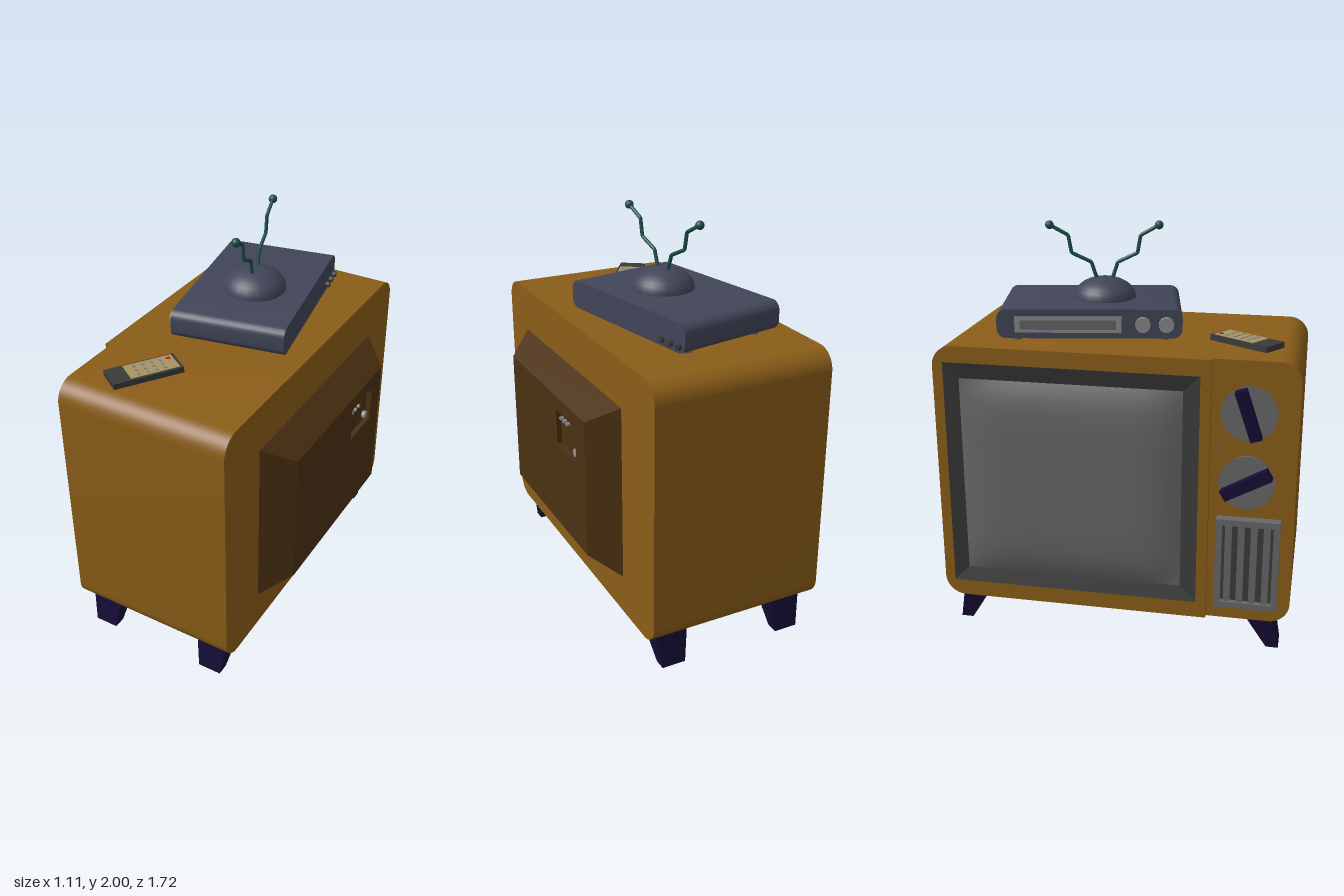
import * as THREE from 'three';
import { toCreasedNormals } from 'three/addons/utils/BufferGeometryUtils.js';

const mat = (color) => new THREE.MeshStandardMaterial({ color, side: THREE.DoubleSide });
const WOOD = mat(0x8a5d18), BACK = mat(0x4a3012), GREY = mat(0x666666), DARK = mat(0x3a3a3a);
const LEG = mat(0x150c35), CASE = mat(0x414558), GREEN = mat(0x1d4f49), LIGHT = mat(0x8c8c8c);
const TAN = mat(0xa8935f), RED = mat(0xc02818);

function add(parent, name, geo, material, x = 0, y = 0, z = 0) {
  const m = new THREE.Mesh(geo, material);
  m.name = name;
  m.position.set(x, y, z);
  parent.add(m);
  return m;
}
const box = (w, h, d) => new THREE.BoxGeometry(w, h, d);

// Cylinder whose axis lies along x
const discX = (r0, r1, len, n = 24) => new THREE.CylinderGeometry(r0, r1, len, n).rotateZ(Math.PI / 2);

// Outline in the z-y plane; rA rounds the low-z corners, rB the high-z ones
function outline(z0, z1, y0, y1, rA = 0, rB = rA) {
  const s = new THREE.Shape();
  const corner = (cx, cy, r, a) => {
    if (r) s.absarc(cx, cy, r, a, a + Math.PI / 2, false);
    else s.lineTo(cx, cy);
  };
  s.moveTo(z0 + rA, y0);
  corner(z1 - rB, y0 + rB, rB, -Math.PI / 2);
  corner(z1 - rB, y1 - rB, rB, 0);
  corner(z0 + rA, y1 - rA, rA, Math.PI / 2);
  corner(z0 + rA, y0 + rA, rA, Math.PI);
  return s;
}
// Extrudes a z-y outline from x1 back to x0
function slab(shape, x0, x1) {
  const g = new THREE.ExtrudeGeometry(shape, { depth: x1 - x0, bevelEnabled: false, curveSegments: 8 });
  return toCreasedNormals(g.rotateY(-Math.PI / 2).translate(x1, 0, 0), 0.5);
}

// Rectangular loop at a given x, and flat panels between successive loops
const rect = (x, z0, z1, y0, y1) => [[x, y0, z0], [x, y1, z0], [x, y1, z1], [x, y0, z1]];
function loft(loops, cap = false) {
  const p = [];
  const quad = (a, b, c, d) => p.push(...a, ...b, ...c, ...a, ...c, ...d);
  for (let i = 0; i < loops.length - 1; i++)
    for (let j = 0; j < 4; j++) {
      const k = (j + 1) % 4;
      quad(loops[i][j], loops[i][k], loops[i + 1][k], loops[i + 1][j]);
    }
  if (cap) quad(...loops[loops.length - 1]);
  const g = new THREE.BufferGeometry();
  g.setAttribute('position', new THREE.Float32BufferAttribute(p, 3));
  g.computeVertexNormals();
  return g;
}

function cabinet() {
  const g = new THREE.Group();
  g.name = 'cabinet';
  add(g, 'cabinetBody', slab(outline(-0.86, 0.86, 0.17, 1.47, 0.1), -0.462, 0.405), WOOD);

  // Raised surround with an opening for the screen
  const surround = outline(-0.86, 0.46, 0.17, 1.47, 0.1, 0);
  surround.holes.push(outline(-0.81, 0.41, 0.25, 1.39));
  add(g, 'screenSurround', slab(surround, -0.487, -0.462), WOOD);
  add(g, 'screenFrame', loft([rect(-0.466, -0.74, 0.33, 0.32, 1.31), rect(-0.487, -0.81, 0.41, 0.25, 1.39)]), DARK);

  // Screen: a grid swollen into a pillow
  const screen = new THREE.PlaneGeometry(1.07, 0.99, 20, 20);
  const p = screen.attributes.position;
  for (let i = 0; i < p.count; i++) {
    const u = Math.abs(p.getX(i) / 0.535), v = Math.abs(p.getY(i) / 0.495);
    p.setZ(i, 0.044 * (1 - u ** 6) * (1 - v ** 6));
  }
  screen.rotateY(-Math.PI / 2).computeVertexNormals();
  add(g, 'screen', screen, GREY, -0.466, 0.815, -0.205);

  // Tapered rear housing with a recessed socket panel
  add(g, 'rearHousing', loft([rect(0.42, -0.57, 0.585, 0.39, 1.26), rect(0.55, -0.455, 0.465, 0.48, 1.17)]), BACK);
  const rear = outline(-0.455, 0.465, 0.48, 1.17);
  rear.holes.push(outline(-0.35, -0.12, 0.92, 1.1));
  add(g, 'rearPanel', slab(rear, 0.548, 0.55), BACK);
  add(g, 'socketRecess', loft([rect(0.55, -0.35, -0.12, 0.92, 1.1), rect(0.525, -0.35, -0.12, 0.92, 1.1)], true), BACK);
  for (const z of [-0.148, -0.185, -0.222]) add(g, 'socket', discX(0.01, 0.01, 0.02, 12), LIGHT, 0.533, 1.062, z);
  add(g, 'rearKnob', discX(0.02, 0.02, 0.02, 16), LIGHT, 0.533, 0.955, -0.315);
  return g;
}

function controls() {
  const g = new THREE.Group();
  g.name = 'controls';
  // Dials with grip bars, turned to different positions
  for (const [y, turn] of [[1.235, 0.32], [0.9, -1.05]]) {
    const dial = new THREE.Group();
    dial.name = 'dial';
    dial.position.set(-0.462, y, 0.635);
    add(dial, 'dialDisc', discX(0.13, 0.118, 0.045), GREY, -0.022).rotation.x = Math.PI;
    const grip = add(dial, 'dialGrip', box(0.045, 0.245, 0.055), LEG, -0.064);
    grip.rotation.set(-turn, 0, 0.06);
    g.add(dial);
  }
  // Speaker grille
  const frame = outline(0.5, 0.8, 0.25, 0.71);
  frame.holes.push(outline(0.53, 0.77, 0.28, 0.68));
  add(g, 'speakerFrame', slab(frame, -0.51, -0.462), GREY);
  add(g, 'speakerBack', box(0.02, 0.4, 0.24), DARK, -0.473, 0.48, 0.65);
  for (let i = 0; i < 4; i++) add(g, 'speakerSlat', box(0.03, 0.4, 0.032), GREY, -0.485, 0.48, 0.56 + i * 0.06);
  return g;
}

function legs() {
  const g = new THREE.Group();
  g.name = 'legs';
  for (const x of [-0.355, 0.275])
    for (const s of [-1, 1]) {
      // Taper towards the foot and splay outward
      const leg = box(1, 0.175, 1);
      const p = leg.attributes.position;
      for (let i = 0; i < p.count; i++) {
        const top = p.getY(i) > 0;
        p.setX(i, p.getX(i) * (top ? 0.17 : 0.12));
        p.setZ(i, p.getZ(i) * (top ? 0.135 : 0.06) + s * (top ? 0.715 : 0.785));
      }
      leg.computeVertexNormals();
      add(g, 'leg', leg, LEG, x, 0.0875, 0);
    }
  return g;
}

function tunerBox() {
  const g = new THREE.Group();
  g.name = 'tunerBox';
  g.position.set(-0.034, 0, -0.19);
  g.rotation.y = 0.183;
  add(g, 'tunerCase', slab(outline(-0.436, 0.436, 1.492, 1.63, 0.045), -0.278, 0.278), CASE);
  for (const x of [-0.2, 0.2])
    for (const z of [-0.35, 0.35]) add(g, 'tunerFoot', new THREE.CylinderGeometry(0.025, 0.025, 0.03, 12), GREY, x, 1.48, z);
  // Front display, knobs and rear sockets
  add(g, 'tunerDisplay', box(0.02, 0.075, 0.5), LIGHT, -0.282, 1.56, -0.1);
  add(g, 'displayInset', box(0.004, 0.045, 0.45), GREY, -0.293, 1.56, -0.1);
  for (const z of [0.25, 0.36]) add(g, 'tunerKnob', discX(0.036, 0.036, 0.03, 16), LIGHT, -0.286, 1.56, z);
  for (const z of [-0.4, -0.34, -0.28]) add(g, 'tunerSocket', discX(0.015, 0.015, 0.025, 12), DARK, 0.284, 1.525, z);

  // Dome and the two kinked antenna rods
  const dome = new THREE.SphereGeometry(0.155, 24, 8, 0, Math.PI * 2, 0, Math.PI / 2).scale(1, 0.66, 1);
  add(g, 'antennaDome', dome, CASE, 0.01, 1.628, 0.063);
  for (const s of [-1, 1]) {
    const pts = [[0.035, 1.71], [0.064, 1.8], [0.16, 1.845], [0.175, 1.93], [0.264, 1.979]]
      .map(([z, y]) => new THREE.Vector3(0.01, y, 0.063 + s * z));
    const path = new THREE.CurvePath();
    for (let i = 0; i < 4; i++) path.add(new THREE.LineCurve3(pts[i], pts[i + 1]));
    add(g, 'antennaRod', new THREE.TubeGeometry(path, 48, 0.009, 8), GREEN);
    add(g, 'antennaTip', new THREE.SphereGeometry(0.021, 16, 12), GREEN, ...pts[4].toArray());
  }
  return g;
}

function remote() {
  const g = new THREE.Group();
  g.name = 'remoteControl';
  g.position.set(-0.178, 1.47, 0.587);
  g.rotation.y = -0.592;
  add(g, 'remoteBody', box(0.135, 0.028, 0.336), DARK, 0, 0.014, 0);
  add(g, 'remoteFace', box(0.115, 0.004, 0.235), TAN, 0, 0.029, -0.036);
  add(g, 'powerButton', new THREE.CylinderGeometry(0.016, 0.016, 0.005, 3), RED, -0.03, 0.032, -0.13);
  for (let r = 0; r < 4; r++)
    for (let c = -1; c <= 1; c++) add(g, 'remoteButton', box(0.02, 0.005, 0.014), LIGHT, c * 0.034, 0.032, -0.09 + r * 0.042);
  return g;
}

export function createModel() {
  const model = new THREE.Group();
  model.name = 'television';
  model.add(cabinet(), controls(), legs(), tunerBox(), remote());
  return model;
}
